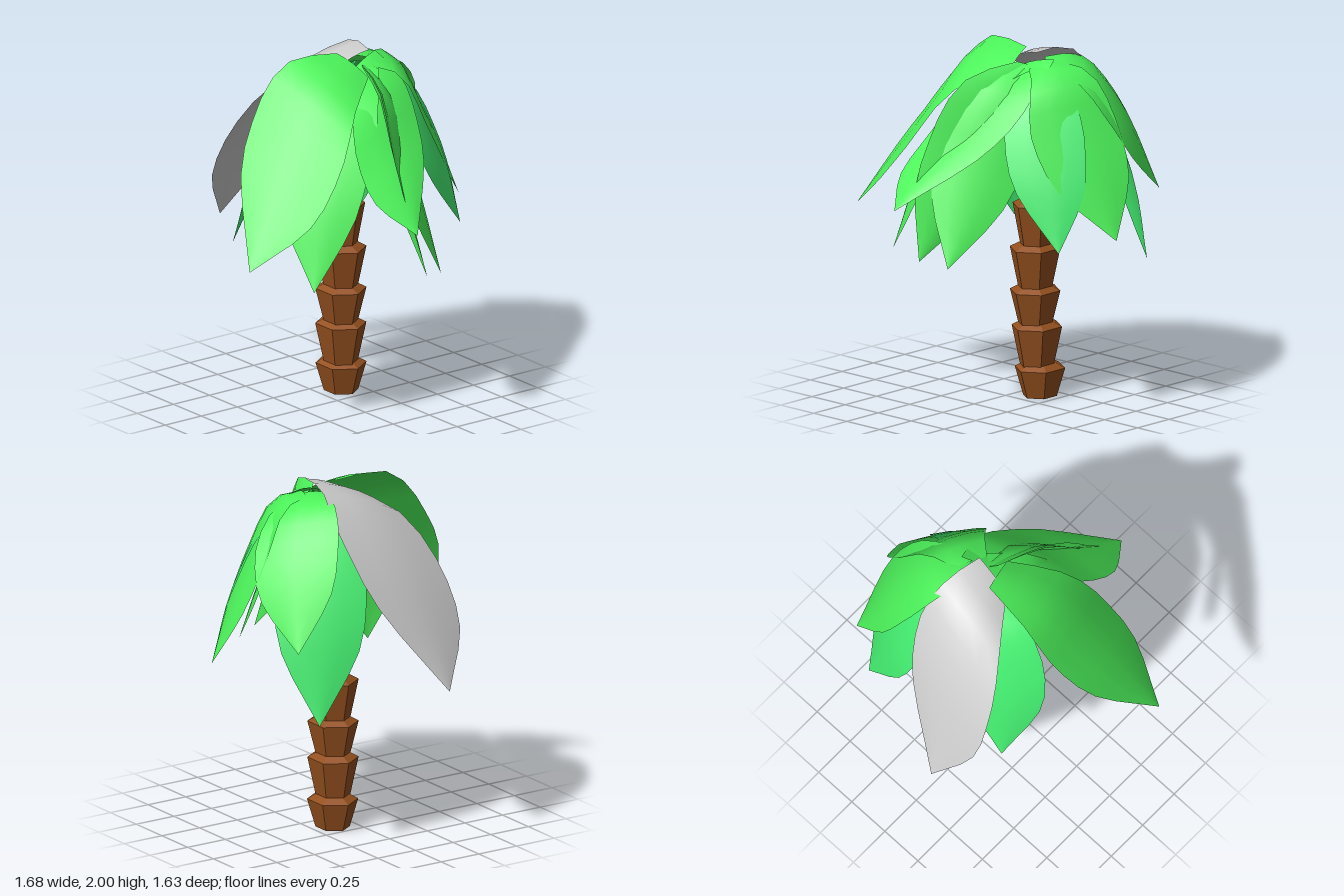
import * as THREE from 'three';

const GREEN = 0x4cf25a, TEAL = 0x44ee70, BROWN = 0x94501f, GREY = 0xcccccc;
const V = (p) => new THREE.Vector3(...p);

// half-width of a frond from root to tip, as a fraction of its widest point
const WIDTHS = [0.38, 0.6, 0.79, 0.93, 1, 1, 0.96, 0.84, 0.6, 0.3, 0];
const BULGE = 0.035;

// each frond: colour, shoulder drop, root, widest point of the rib, tip, half-width vector
const UPPER = [
  [GREEN, 0.12, [0.1, 1.93, 0.01], [-0.45, 1.55, 0.17], [-0.84, 1, 0.3], [-0.08, 0.13, -0.27]],
  [GREEN, 0.38, [0.21, 1.93, -0.03], [0.06, 1.55, 0.41], [-0.07, 1.19, 0.81], [0.26, 0.07, -0.08]],
  [GREEN, 0.12, [0.26, 1.92, -0.04], [0.55, 1.6, 0.02], [0.84, 1.03, 0], [0.1, 0.03, -0.23]],
  [GREY, 0.12, [0.11, 1.95, -0.02], [-0.03, 1.64, -0.49], [-0.18, 0.9, -0.82], [0.3, 0.11, 0.03]],
  [GREEN, 0.1, [0.24, 1.92, -0.06], [0.51, 1.68, -0.33], [0.64, 1.19, -0.55], [-0.16, 0.05, -0.17]],
];
const LOWER = [
  [TEAL, 0.2, [0.21, 1.9, -0.07], [0.42, 1.42, -0.44], [0.52, 0.76, -0.58], [-0.22, 0, -0.13]],
  [TEAL, 0.25, [0.22, 1.9, -0.02], [0.5, 1.43, 0.2], [0.65, 0.97, 0.26], [0.17, 0, -0.14]],
  [GREEN, 0.18, [0.18, 1.9, -0.02], [0.08, 1.42, 0.42], [0.05, 0.91, 0.74], [-0.11, 0.08, 0.18]],
  [GREEN, 0.22, [0.21, 1.9, -0.02], [0.18, 1.41, 0.4], [0.2, 0.88, 0.67], [-0.17, 0.05, 0.16]],
  [GREEN, 0.25, [0.17, 1.9, 0], [-0.3, 1.4, 0.26], [-0.47, 0.83, 0.4], [-0.17, 0, -0.17]],
  [TEAL, 0.22, [0.17, 1.9, -0.06], [-0.25, 1.42, -0.31], [-0.37, 0.87, -0.46], [-0.18, 0, 0.14]],
];

// the rib leaves the root, arches over a shoulder and hangs to the tip
function frondRib(drop, root, middle, tip) {
  const shoulder = root.clone().lerp(middle, 0.5);
  shoulder.y = THREE.MathUtils.lerp(root.y, middle.y, drop);
  return new THREE.CatmullRomCurve3([root, shoulder, middle, tip]);
}

// a grid swept along the rib, pinched by WIDTHS and bulged across
function frondGeometry(rib, side) {
  const rows = WIDTHS.length - 1;
  const geo = new THREE.PlaneGeometry(2, 1, 4, rows);
  const pos = geo.attributes.position;
  const flip = side.clone().cross(rib.getTangentAt(0.4)).y < 0 ? -1 : 1;
  for (let i = 0; i < pos.count; i++) {
    const u = pos.getX(i);
    const row = Math.round((0.5 - pos.getY(i)) * rows);
    const t = row / rows;
    const normal = side.clone().cross(rib.getTangentAt(t)).normalize();
    const p = rib.getPointAt(t)
      .addScaledVector(side, u * WIDTHS[row])
      .addScaledVector(normal, flip * BULGE * (0.5 - u * u) * WIDTHS[row]);
    pos.setXYZ(i, p.x, p.y, p.z);
  }
  geo.computeVertexNormals();
  return geo;
}

function whorl(name, fronds) {
  const group = new THREE.Group();
  group.name = name;
  fronds.forEach(([color, drop, root, middle, tip, side], i) => {
    const frond = new THREE.Mesh(
      frondGeometry(frondRib(drop, V(root), V(middle), V(tip)), V(side)),
      new THREE.MeshStandardMaterial({ color, side: THREE.DoubleSide }));
    frond.name = `frond${i + 1}`;
    group.add(frond);
  });
  return group;
}

// stacked six-sided cups, each flaring to a bevelled rim, along a bent axis
function makeTrunk() {
  const trunk = new THREE.Group();
  trunk.name = 'trunk';
  const bark = new THREE.MeshStandardMaterial({ color: BROWN, flatShading: true });
  const axis = new THREE.CatmullRomCurve3([
    [0.138, 0, -0.145], [0.114, 0.65, -0.116], [0.125, 1.2, -0.115], [0.19, 1.82, -0.07]].map(V));
  let bottom = 0;
  [0.16, 0.395, 0.6, 0.84, 1.09, 1.28, 1.48, 1.66, 1.82].forEach((rim, i) => {
    const radius = 0.152 - 0.011 * Math.max(0, i - 3);
    const neck = radius * 0.67;
    const height = rim - bottom;
    const profile = [[0, 0], [neck, 0], [radius, height], [neck, height + 0.025], [0, height + 0.025]];
    const ring = new THREE.Mesh(
      new THREE.LatheGeometry(profile.map(([r, y]) => new THREE.Vector2(r, y)), 6), bark);
    ring.name = `trunkRing${i + 1}`;
    ring.position.copy(axis.getPoint(rim / 1.82)).setY(bottom);
    ring.scale.x = 0.9;
    trunk.add(ring);
    bottom = rim + 0.015;
  });
  return trunk;
}

export function createModel() {
  const model = new THREE.Group();
  model.name = 'palmTree';
  model.add(makeTrunk(), whorl('upperFronds', UPPER), whorl('lowerFronds', LOWER));
  return model;
}
